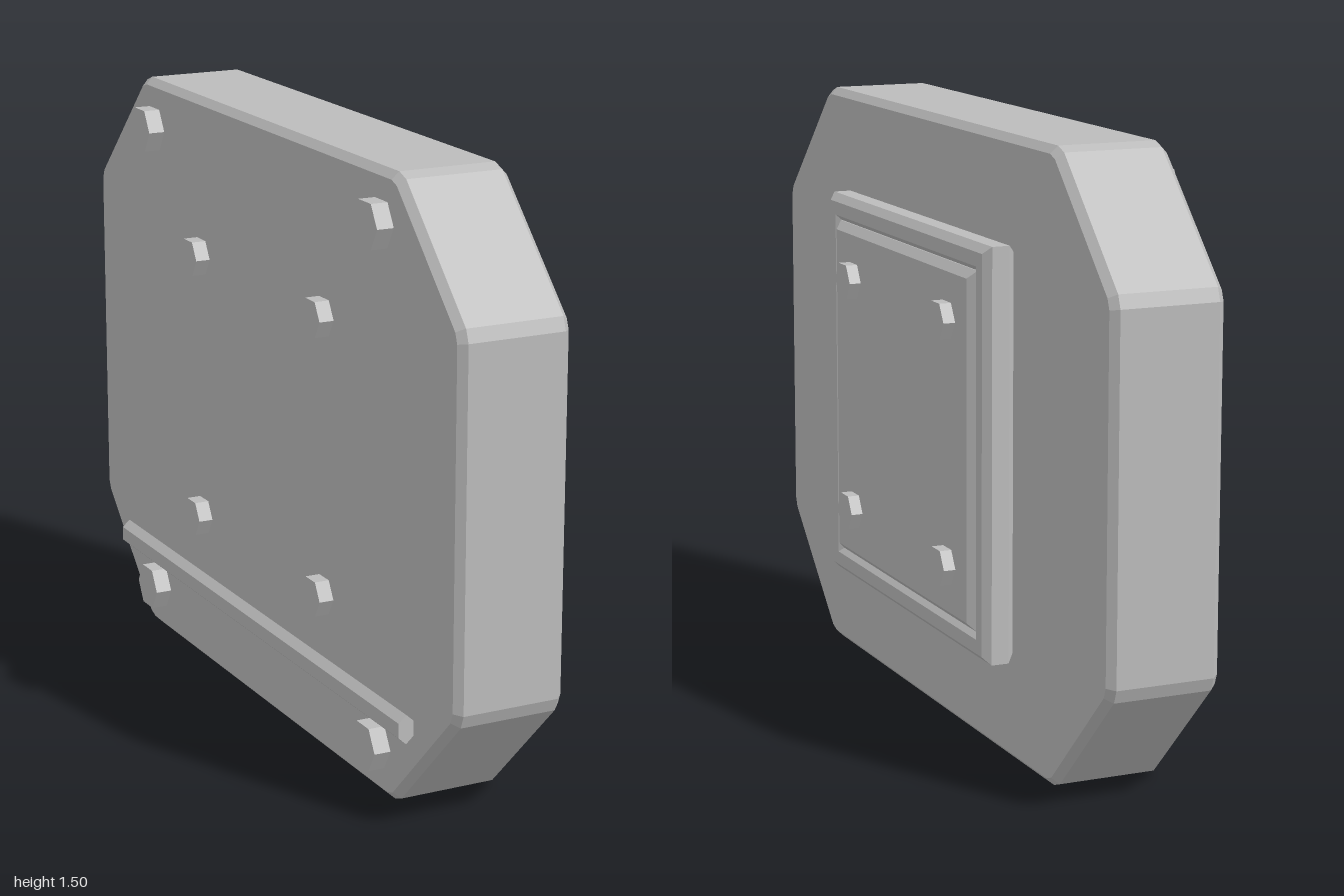
import * as THREE from 'three';

const grey = new THREE.MeshStandardMaterial({ color: 0xbcbcbc });
grey.name = 'plain grey';
const MID_Y = 0.75;

// Outline in (z, y) about the panel centre
const outline = (points, Type = THREE.Shape) => new Type(points.map(([a, b]) => new THREE.Vector2(a, b)));
const square = (h) => [[-h, -h], [h, -h], [h, h], [-h, h]];

// Chamfered slab lying across x, from x0 to x1
function slab(name, shape, x0, x1, bevel) {
  const geometry = new THREE.ExtrudeGeometry(shape, {
    depth: x1 - x0 - 2 * bevel, bevelEnabled: true, bevelSegments: 1,
    bevelThickness: bevel, bevelSize: bevel, bevelOffset: -bevel,
  });
  geometry.translate(0, 0, x0 + bevel).rotateY(Math.PI / 2).translate(0, MID_Y, 0);
  const mesh = new THREE.Mesh(geometry, grey);
  mesh.name = name;
  return mesh;
}

// Hexagonal prism turned by the given function, with flat facets
function hexPrism(name, radius, length, orient) {
  const geometry = new THREE.CylinderGeometry(radius, radius, length, 6).toNonIndexed();
  orient(geometry);
  geometry.computeVertexNormals();
  const mesh = new THREE.Mesh(geometry, grey);
  mesh.name = name;
  return mesh;
}

// Four bolt heads mirrored about the centre, corners pointing along z
function boltSet(name, x0, x1, radius, z, dy) {
  const group = new THREE.Group();
  group.name = name;
  for (const sz of [-1, 1]) for (const sy of [-1, 1]) {
    const bolt = hexPrism('boltHead', radius, x1 - x0, (g) => g.rotateZ(Math.PI / 2));
    bolt.position.set((x0 + x1) / 2, MID_Y + sy * dy, sz * z);
    group.add(bolt);
  }
  return group;
}

export function createModel() {
  const model = new THREE.Group();
  model.name = 'armourPanel';

  // Octagonal body, each corner blunted by a small extra facet
  const quarter = [[1, 0.43], [0.988, 0.462], [0.712, 0.738], [0.68, 0.75]];
  const flip = (sz, sy) => quarter.map(([z, y]) => [z * sz, y * sy]);
  const body = [
    ...flip(1, 1), ...flip(-1, 1).reverse(),
    ...flip(-1, -1), ...flip(1, -1).reverse(),
  ];
  model.add(slab('body', outline(body), -0.18, 0.1, 0.018));

  // Raised frame and the plate inside it
  const frame = outline(square(0.5));
  frame.holes.push(outline(square(0.43).reverse(), THREE.Path));
  model.add(slab('frame', frame, 0.1, 0.18, 0.018));
  model.add(slab('innerPlate', outline(square(0.435)), 0.09, 0.19, 0.02));

  // Bolts on both faces
  model.add(boltSet('plateBolts', 0.17, 0.22, 0.05, 0.3, 0.3));
  model.add(boltSet('rearInnerBolts', -0.217, -0.17, 0.05, 0.345, 0.345));
  model.add(boltSet('rearOuterBolts', -0.222, -0.17, 0.061, 0.628, 0.625));

  // Long rail low on the other face
  const rail = hexPrism('rail', 0.036, 1.6, (g) => g.rotateX(Math.PI / 2).scale(0.64, 1, 1));
  rail.position.set(-0.199, 0.224, 0);
  model.add(rail);

  return model;
}
